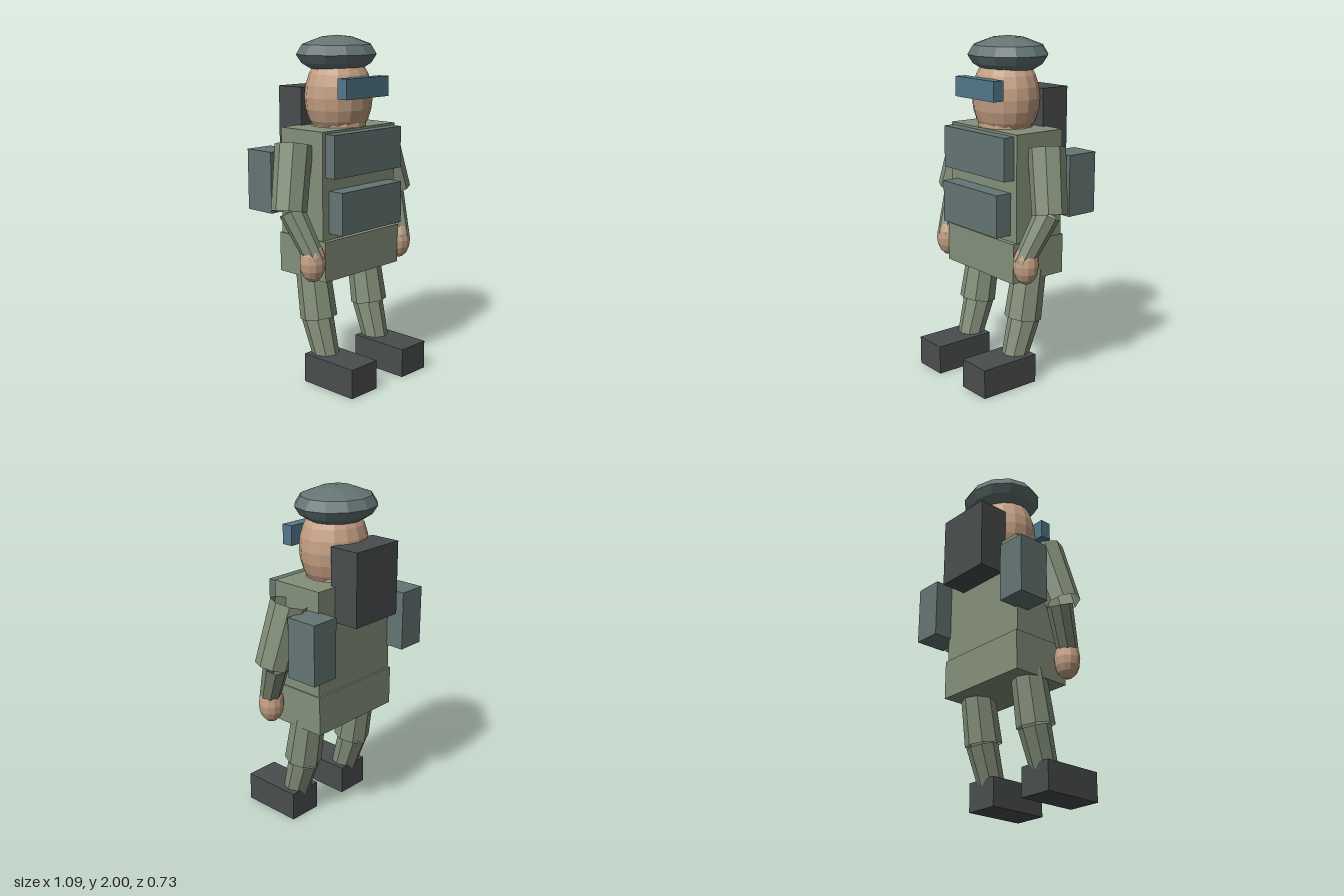
import * as THREE from 'three';

const material = (name, color) => {
  const m = new THREE.MeshStandardMaterial({ color, flatShading: true, side: THREE.DoubleSide });
  m.name = name;
  return m;
};

export function createModel() {
  const root = new THREE.Group();
  root.name = 'soldier';
  const olive = material('olive cloth', 0x84907a);
  const slate = material('slate gear', 0x647573);
  const dark = material('dark leather', 0x4a4d4e);
  const skin = material('skin', 0xc4a084);
  const glass = material('blue visor', 0x53788a);

  const add = (name, geometry, mat) => {
    const mesh = new THREE.Mesh(geometry, mat);
    mesh.name = name;
    root.add(mesh);
    return mesh;
  };
  // Box given by its extent on each axis
  const box = (name, mat, [x0, x1], [y0, y1], [z0, z1]) =>
    add(name, new THREE.BoxGeometry(x1 - x0, y1 - y0, z1 - z0), mat)
      .position.set((x0 + x1) / 2, (y0 + y1) / 2, (z0 + z1) / 2);
  const ball = (name, mat, centre, radii, w, h) => {
    const mesh = add(name, new THREE.SphereGeometry(1, w, h), mat);
    mesh.position.set(...centre);
    mesh.scale.set(...radii);
  };
  // Open eight-sided sleeve running from top point a to bottom point b
  const sleeve = (name, a, b, rTop, rBottom) => {
    const top = new THREE.Vector3(...a), bottom = new THREE.Vector3(...b);
    const axis = top.clone().sub(bottom);
    const mesh = add(name, new THREE.CylinderGeometry(rTop, rBottom, axis.length(), 8, 1, true), olive);
    mesh.position.copy(top).add(bottom).multiplyScalar(0.5);
    mesh.quaternion.setFromUnitVectors(new THREE.Vector3(0, 1, 0), axis.normalize());
  };

  // Body and gear on the centre line
  box('torso', olive, [-0.303, 0.303], [0.865, 1.485], [-0.21, 0.122]);
  box('pelvis', olive, [-0.31, 0.31], [0.635, 0.868], [-0.222, 0.15]);
  box('chestPlate', slate, [-0.28, 0.28], [1.227, 1.472], [0.1, 0.193]);
  box('bellyPouch', slate, [-0.252, 0.252], [0.905, 1.15], [0.1, 0.224]);
  box('backpack', dark, [-0.172, 0.172], [1.28, 1.705], [-0.366, -0.18]);

  // Head, visor and beret
  const neck = add('neck', new THREE.CylinderGeometry(0.16, 0.17, 0.12, 12), skin);
  neck.position.set(0, 1.46, -0.045);
  ball('head', skin, [0, 1.65, -0.045], [0.206, 0.265, 0.19], 16, 12);
  box('visor', glass, [-0.176, 0.176], [1.655, 1.77], [0.115, 0.184]);
  const profile = [[0, 1.812], [0.16, 1.812], [0.215, 1.845], [0.247, 1.893], [0.212, 1.948], [0.095, 1.99], [0, 2]]
    .map(([r, y]) => new THREE.Vector2(r, y));
  const beret = add('beret', new THREE.LatheGeometry(profile, 12), slate);
  beret.position.z = -0.061;
  beret.scale.z = 0.925;

  // Paired parts
  for (const s of [1, -1]) {
    const side = s > 0 ? 'left' : 'right';
    const span = (a, b) => (s > 0 ? [a, b] : [-b, -a]);
    sleeve(side + 'UpperArm', [s * 0.36, 1.405, -0.045], [s * 0.45, 1.045, 0.005], 0.107, 0.1);
    sleeve(side + 'Forearm', [s * 0.425, 1.045, 0], [s * 0.365, 0.765, 0.13], 0.075, 0.058);
    ball(side + 'Hand', skin, [s * 0.369, 0.759, 0.107], [0.076, 0.115, 0.074], 12, 8);
    sleeve(side + 'Thigh', [s * 0.217, 0.685, -0.05], [s * 0.219, 0.378, 0.002], 0.099, 0.109);
    sleeve(side + 'Shin', [s * 0.219, 0.375, -0.008], [s * 0.217, 0.13, 0.068], 0.093, 0.076);
    box(side + 'Boot', dark, span(0.115, 0.322), [0, 0.172], [-0.012, 0.365]);
    box(side + 'SidePouch', slate, span(0.287, 0.459), [1.015, 1.365], [-0.324, -0.13]);
  }
  return root;
}
